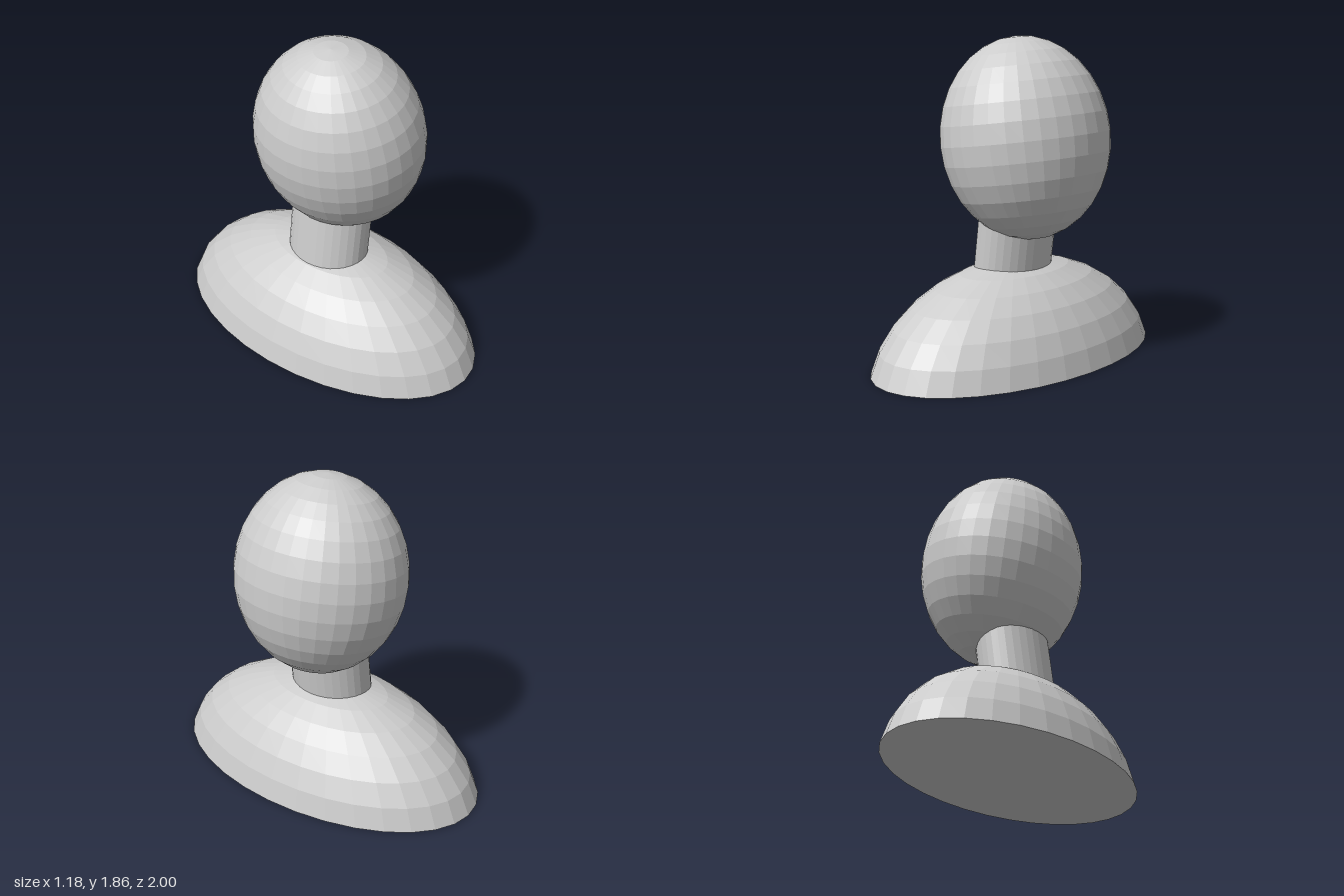
import * as THREE from 'three';

const SIDES = 32;
const STEP = Math.PI / 16; // angle between rings of the rounded parts

export function createModel() {
  const group = new THREE.Group();
  const material = new THREE.MeshStandardMaterial({ color: 0xcccccc, flatShading: true });

  function add(name, geometry, position, tilt = 0) {
    const mesh = new THREE.Mesh(geometry, material);
    mesh.name = name;
    mesh.position.set(...position);
    mesh.rotation.z = tilt;
    group.add(mesh);
    return mesh;
  }

  // Shoulders: wide ellipsoid cut off one ring above its equator
  const rx = 0.6, ry = 0.7, rz = 1.02;
  const dome = new THREE.SphereGeometry(1, SIDES, 7, 0, Math.PI * 2, 0, STEP * 7);
  dome.scale(rx, ry, rz);
  add('shoulders', dome, [0, -ry * Math.sin(STEP), 0]);

  // Flat underside closing the cut
  const base = new THREE.CircleGeometry(Math.cos(STEP), SIDES);
  base.rotateX(Math.PI / 2).scale(rx, 1, rz);
  add('base', base, [0, 0, 0]);

  // Oval neck, leaning towards the model's left
  const neck = new THREE.CylinderGeometry(1, 1, 0.42, SIDES);
  neck.scale(0.197, 1, 0.252);
  add('neck', neck, [0, 0.67, 0], -0.13);

  // Egg-shaped head, tilted back against the neck
  const head = new THREE.SphereGeometry(1, SIDES, 16);
  head.scale(0.464, 0.581, 0.512);
  add('head', head, [0.083, 1.28, 0], 0.14);

  return group;
}
